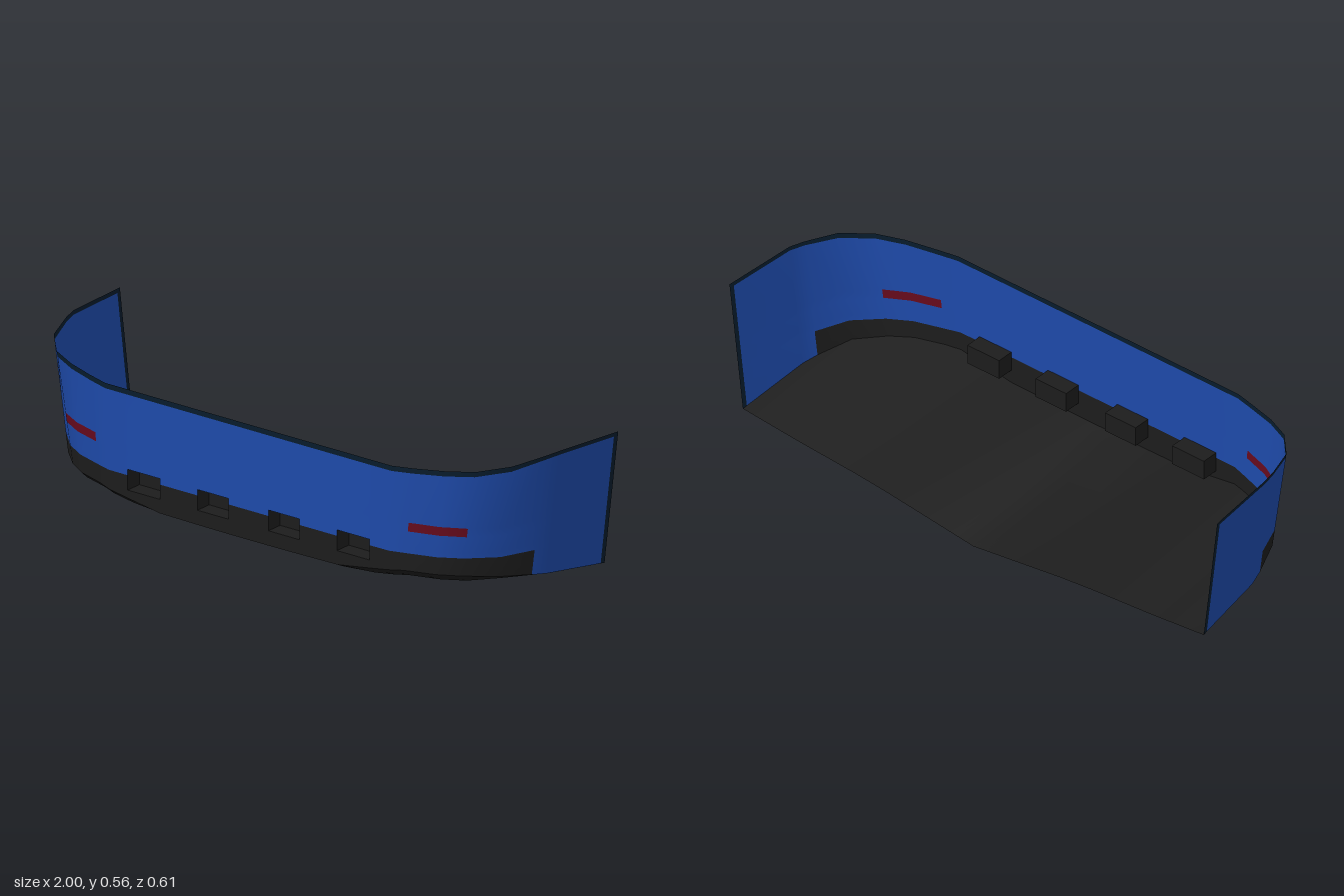
import * as THREE from 'three';

const paint = (name, color) => new THREE.MeshStandardMaterial({ name, color, side: THREE.DoubleSide });

// Half outline from rear end to front middle: top x, y, z, then bottom x, y, z
const HALF = [
  [1.0, 0.552, -0.305, 0.945, 0.095, -0.305],
  [0.998, 0.553, -0.288, 0.943, 0.098, -0.288],
  [0.976, 0.562, -0.04, 0.922, 0.135, -0.04],
  [0.962, 0.558, 0.015, 0.907, 0.144, 0.015],
  [0.92, 0.547, 0.13, 0.862, 0.162, 0.13],
  [0.84, 0.535, 0.215, 0.78, 0.168, 0.21],
  [0.75, 0.529, 0.257, 0.71, 0.17, 0.255],
  [0.65, 0.523, 0.286, 0.61, 0.17, 0.288],
  [0.575, 0.52, 0.305, 0.56, 0.165, 0.304],
  [0.485, 0.52, 0.305, 0.485, 0.153, 0.305],
  [0.355, 0.52, 0.305, 0.355, 0.133, 0.305],
  [0.205, 0.52, 0.305, 0.205, 0.131, 0.305],
  [0.08, 0.52, 0.305, 0.08, 0.13, 0.305],
  [0, 0.52, 0.305, 0, 0.13, 0.305],
];
const mirrored = HALF.slice(0, -1).map(([a, b, c, d, e, f]) => [-a, b, c, -d, e, f]);
const COLUMNS = [...mirrored, ...HALF.slice().reverse()];

// Heights between the bottom edge and the top trim
const LEVELS = [0.18, 0.23, 0.25, 0.305, 0.335];
const BLUE = 0, GREY = 1, RED = 2, TRIM = 3, HOLE = -1;

// Part colour of one wall cell; k counts cells from the rear end on either side
function cellColour(k, row) {
  if (k === 0 || row === 6) return TRIM;
  if ((k === 9 || k === 11) && (row === 1 || row === 2)) return HOLE;
  if (k >= 3 && row <= 1) return GREY;
  if ((k === 5 || k === 6) && row === 4) return RED;
  return BLUE;
}

// Indexed sheet; the faces are listed per material group
function sheet(positions, groups) {
  const geometry = new THREE.BufferGeometry();
  geometry.setAttribute('position', new THREE.Float32BufferAttribute(positions, 3));
  geometry.setIndex(groups.flat());
  let start = 0;
  groups.forEach((list, i) => {
    geometry.addGroup(start, list.length, i);
    start += list.length;
  });
  geometry.computeVertexNormals();
  return geometry;
}

function wallGeometry() {
  const positions = [];
  const cells = [[], [], [], []];
  for (const [tx, ty, tz, bx, by, bz] of COLUMNS) {
    const trim = Math.abs(tx) > 0.95 ? 0.014 : 0.018;
    for (const y of [by, ...LEVELS, ty - trim, ty]) {
      const t = (y - by) / (ty - by);
      positions.push(bx + (tx - bx) * t, y, bz + (tz - bz) * t);
    }
  }
  const n = LEVELS.length + 3;
  for (let i = 0; i < COLUMNS.length - 1; i++) {
    for (let row = 0; row < n - 1; row++) {
      const colour = cellColour(Math.min(i, COLUMNS.length - 2 - i), row);
      if (colour === HOLE) continue;
      const a = i * n + row, b = a + n;
      cells[colour].push(a, b, b + 1, a, b + 1, a + 1);
    }
  }
  return sheet(positions, cells);
}

// Shallow V of the floor's rear edge
function rearHeight(x) {
  const edge = [[0, 0], [0.42, 0.053], [0.73, 0.075], [0.945, 0.095]];
  const ax = Math.abs(x);
  const i = ax <= 0.42 ? 0 : ax <= 0.73 ? 1 : 2;
  const [x0, y0] = edge[i], [x1, y1] = edge[i + 1];
  return y0 + (y1 - y0) * (ax - x0) / (x1 - x0);
}

// Floor from the wall's bottom edge to the rear edge; rows are [share of depth, sag near the corners]
function floorGeometry(rows) {
  const positions = [], index = [];
  const n = rows.length;
  COLUMNS.forEach(([, , , x, y, z], i) => {
    const ax = Math.abs(x);
    const corner = THREE.MathUtils.smoothstep(ax, 0.2, 0.5) * (1 - THREE.MathUtils.smoothstep(ax, 0.75, 0.94));
    for (const [t, sag] of rows) {
      positions.push(x, y + (rearHeight(x) - y) * t - sag * corner, z + (-0.305 - z) * t);
    }
    for (let row = 0; i > 0 && row < n - 1; row++) {
      const b = i * n + row, a = b - n;
      index.push(a, b, b + 1, a, b + 1, a + 1);
    }
  });
  return sheet(positions, [index]);
}

// Box with its front face left open
function pocketGeometry(width, height, depth) {
  const geometry = new THREE.BoxGeometry(width, height, depth);
  const index = Array.from(geometry.index.array);
  index.splice(24, 6);
  geometry.setIndex(index);
  geometry.clearGroups();
  return geometry;
}

export function createModel() {
  const blue = paint('bluePaint', 0x1d49a8);
  const grey = paint('darkGreyPlastic', 0x1c1c1c);
  const red = paint('redReflector', 0x660a1c);
  const trim = paint('darkEdgeTrim', 0x071b2b);

  const model = new THREE.Group();
  model.name = 'bumper';
  const add = (name, geometry, material) => {
    const mesh = new THREE.Mesh(geometry, material);
    mesh.name = name;
    model.add(mesh);
    return mesh;
  };

  add('bumperWall', wallGeometry(), [blue, grey, red, trim]);
  add('floor', floorGeometry([[0, 0], [1, 0]]), [grey]);
  add('underTray', floorGeometry([[0, 0], [0.05, 0.02], [0.55, 0.025], [1, 0]]), [grey]);

  // Four pockets set into the lower front
  for (const side of [-1, 1]) {
    for (const [x, width] of [[0.42, 0.13], [0.1425, 0.125]]) {
      add('pocket', pocketGeometry(width, 0.07, 0.06), grey).position.set(side * x, 0.215, 0.275);
    }
  }
  return model;
}
